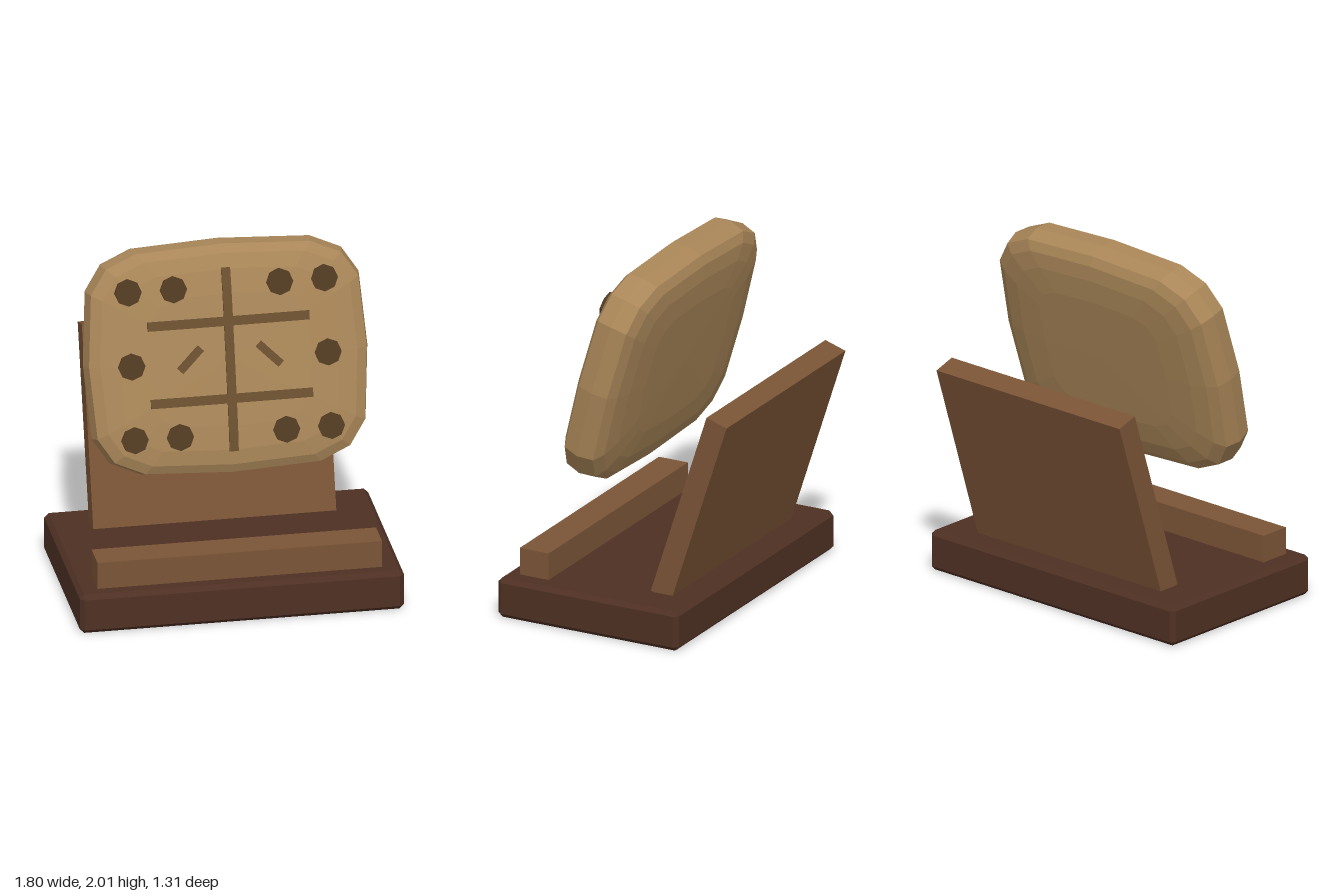
import * as THREE from 'three';
import { ConvexGeometry } from 'three/addons/geometries/ConvexGeometry.js';

const mat = (color) => {
  const m = new THREE.MeshStandardMaterial({ flatShading: true });
  m.color.set(color);
  return m;
};

// Tablet half sizes and the squareness of its pillow shape
const A = 0.79, B = 0.65, D = 0.16, P = 0.48;
const spow = (v) => Math.sign(v) * Math.pow(Math.abs(v), P);

// Height of the tablet's front face above its middle plane
function faceHeight(x, y) {
  const n = 2 / P;
  const s = 1 - Math.pow(Math.abs(x / A), n) - Math.pow(Math.abs(y / B), n);
  return D * Math.pow(Math.max(s, 0), 1 / n);
}

function moveVertices(geometry, rule) {
  const p = geometry.attributes.position, v = new THREE.Vector3();
  for (let i = 0; i < p.count; i++) {
    rule(v.fromBufferAttribute(p, i));
    p.setXYZ(i, v.x, v.y, v.z);
  }
  geometry.computeVertexNormals();
  return geometry;
}

// Box with every edge cut at 45 degrees
function chamferedBox(w, h, d, c) {
  const pts = [];
  for (const x of [-1, 1]) for (const y of [-1, 1]) for (const z of [-1, 1]) {
    for (let k = 0; k < 3; k++) {
      pts.push(new THREE.Vector3(
        x * (w / 2 - (k === 0 ? 0 : c)),
        y * (h / 2 - (k === 1 ? 0 : c)),
        z * (d / 2 - (k === 2 ? 0 : c))));
    }
  }
  return new ConvexGeometry(pts);
}

export function createModel() {
  const model = new THREE.Group();
  const add = (parent, name, geometry, material, x = 0, y = 0, z = 0) => {
    const mesh = new THREE.Mesh(geometry, material);
    mesh.name = name;
    mesh.position.set(x, y, z);
    parent.add(mesh);
    return mesh;
  };

  const darkWood = mat(0x4e3023), wood = mat(0x7a5436), clay = mat(0xa98658);
  const grooveMat = mat(0x6b5030), dotMat = mat(0x513a22);

  // Stand: base, front ledge and leaning back board
  add(model, 'base', chamferedBox(1.8, 0.23, 1.125, 0.025), darkWood, 0, 0.115, 0.093);
  add(model, 'frontLedge', new THREE.BoxGeometry(1.58, 0.185, 0.18), wood, 0, 0.2925, 0.48);
  const back = add(model, 'backBoard', new THREE.BoxGeometry(1.35, 1.13, 0.131), wood, 0, 0.753, -0.419);
  back.rotation.x = -0.312;

  // Tilted tablet: a sphere squared off into a pillow
  const tablet = new THREE.Group();
  tablet.name = 'tablet';
  tablet.position.set(0, 1.37, 0.125);
  tablet.rotation.x = -0.262;
  model.add(tablet);

  const pillow = new THREE.SphereGeometry(1, 16, 10).rotateX(Math.PI / 2);
  moveVertices(pillow, (v) => {
    const c = Math.hypot(v.x, v.y) || 1;
    const r = Math.pow(c, P);
    v.set(A * r * spow(v.x / c), B * r * spow(v.y / c), D * spow(v.z));
  });
  add(tablet, 'tabletBody', pillow, clay);

  // Bars that follow the curve of the face
  const bar = (name, length, width, x, y, angle) => {
    const g = new THREE.BoxGeometry(length, width, 0.04, 10, 1, 1);
    g.rotateZ(angle).translate(x, y, 0);
    moveVertices(g, (v) => { v.z += faceHeight(v.x, v.y) - 0.01; });
    add(tablet, name, g, grooveMat);
  };
  bar('verticalBar', 1.02, 0.05, 0, 0, Math.PI / 2);
  for (const y of [0.215, -0.215]) bar('horizontalBar', 0.9, 0.05, 0, y, 0);
  for (const s of [-1, 1]) bar('slantedBar', 0.17, 0.045, s * 0.22, 0.017, -s * Math.PI / 4);

  // Round marks down both sides
  const dot = new THREE.CylinderGeometry(0.075, 0.075, 0.04, 8).rotateX(Math.PI / 2);
  for (const s of [-1, 1]) {
    for (const [x, y] of [[0.545, 0.41], [0.295, 0.41], [0.545, 0], [0.545, -0.41], [0.295, -0.41]]) {
      add(tablet, 'roundMark', dot, dotMat, s * x, y, faceHeight(x, y) - 0.012);
    }
  }
  return model;
}
